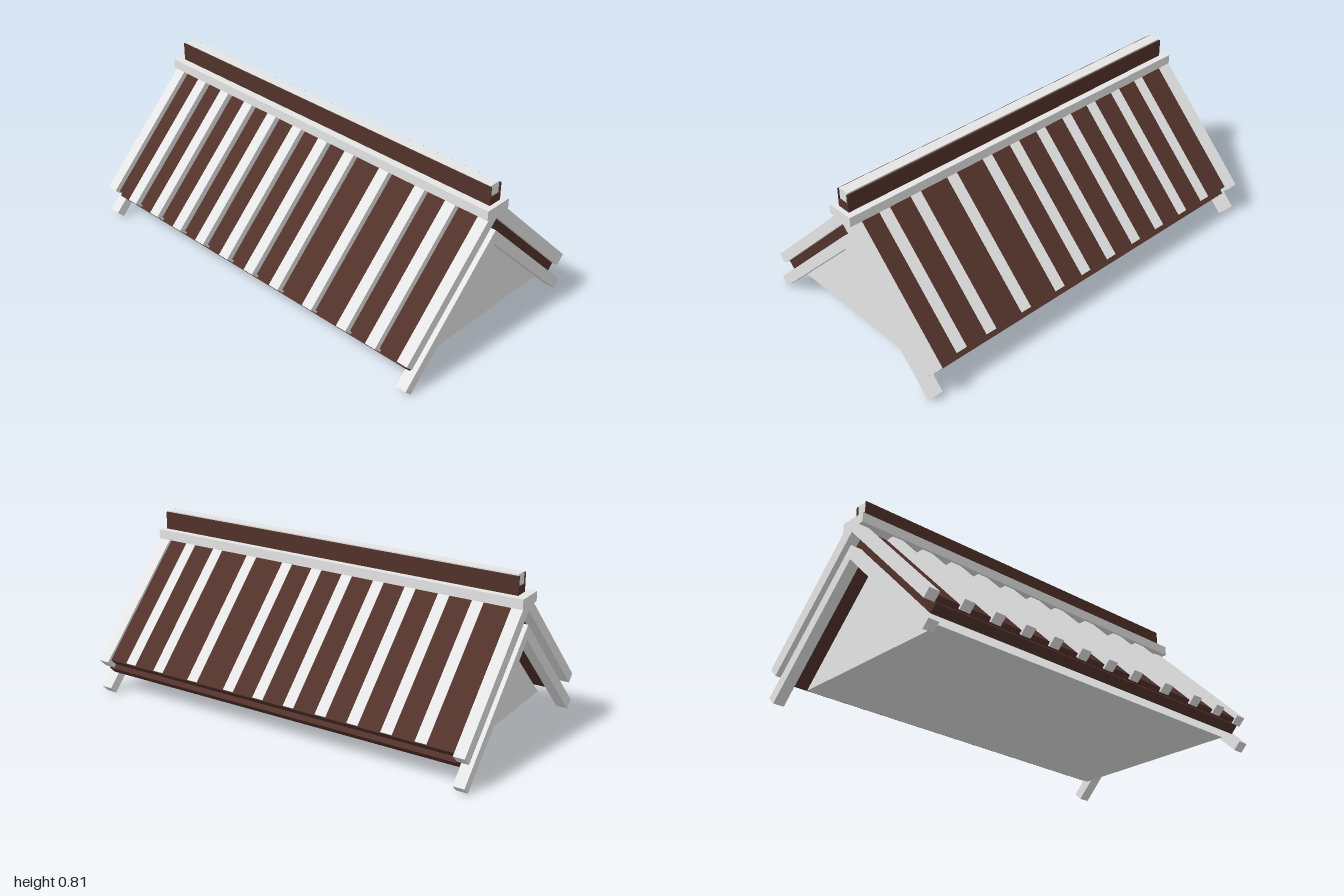
import * as THREE from 'three';

const APEX_Z = -0.005;

export function createModel() {
  const group = new THREE.Group();
  const stone = new THREE.MeshStandardMaterial({ color: 0xe4e4e4 });
  stone.name = 'pale grey';
  const wood = new THREE.MeshStandardMaterial({ color: 0x52322a });
  wood.name = 'dark brown';

  const add = (name, geometry, material) => {
    const mesh = new THREE.Mesh(geometry, material);
    mesh.name = name;
    group.add(mesh);
  };

  // Extrudes a (z, y) outline along x from x0 to x1
  const extrudeX = (points, x0, x1) => {
    const shape = new THREE.Shape(points.map(([z, y]) => new THREE.Vector2(z + APEX_Z, y)));
    const geometry = new THREE.ExtrudeGeometry(shape, { depth: x1 - x0, bevelEnabled: false });
    return geometry.rotateY(-Math.PI / 2).translate(x1, 0, 0);
  };

  // A 45 degree slab with a square-cut foot; low and high are its heights at the ridge
  const slope = (name, material, side, x0, x1, low, high, foot) => {
    const tip = foot + (high - low) / 2;
    const top = Math.min(high, 0.71);
    const points = [[0, low], [foot, low - foot], [tip, high - tip]];
    if (top < high) points.push([high - top, top]);
    points.push([0, top]);
    add(name, extrudeX(points.map(([z, y]) => [z * side, y]), x0, x1), material);
  };

  const beam = (name, material, x0, x1, y0, y1, z0, z1) =>
    add(name, new THREE.BoxGeometry(x1 - x0, y1 - y0, z1 - z0)
      .translate((x0 + x1) / 2, (y0 + y1) / 2, (z0 + z1) / 2), material);

  // Solid attic prism under the roof
  add('atticCore', extrudeX([[-0.455, 0.08], [0.455, 0.08], [0, 0.535]], -0.87, 0.93), stone);

  const battens = [-0.797, -0.63, -0.46, -0.295, -0.125, 0.043, 0.21, 0.42, 0.627, 0.797];
  for (const side of [1, -1]) {
    const front = side > 0;
    // Lower boarding, and the covering between the edge battens
    slope('roofBoarding', wood, side, -0.943, 0.963, 0.585, 0.652, 0.489);
    slope('roofCovering', wood, side, -0.938, 0.94, 0.65, front ? 0.69 : 0.715, front ? 0.51 : 0.504);

    // Gable rafters below and edge battens above, at both ends
    for (const x of [-1, 0.938]) {
      slope('gableRafter', stone, side, x, x + 0.055, 0.515, 0.585, 0.515);
      slope('edgeBatten', stone, side, x, x + 0.055, 0.65, front ? 0.718 : 0.732, front ? 0.515 : 0.517);
    }

    // Battens across the slope: proud at the front, almost flush at the back
    for (const x of battens) {
      const c = front ? x : x + 0.015;
      slope('roofBatten', stone, side, c - 0.028, c + 0.028, 0.665, front ? 0.735 : 0.719, front ? 0.525 : 0.509);
    }
  }

  // Ridge beam carrying a brown trough with a pale cap set into it
  beam('ridgeBeam', stone, -1, 1, 0.67, 0.717, -0.07, 0.07);
  beam('crestBase', wood, -0.96, 0.978, 0.717, 0.755, -0.037, 0.032);
  beam('crestBackBoard', wood, -0.96, 0.978, 0.755, 0.803, -0.037, -0.029);
  beam('crestFrontBoard', wood, -0.96, 0.978, 0.755, 0.807, 0.027, 0.032);
  beam('ridgeCap', stone, -0.955, 0.972, 0.755, 0.809, -0.029, 0.027);

  return group;
}
